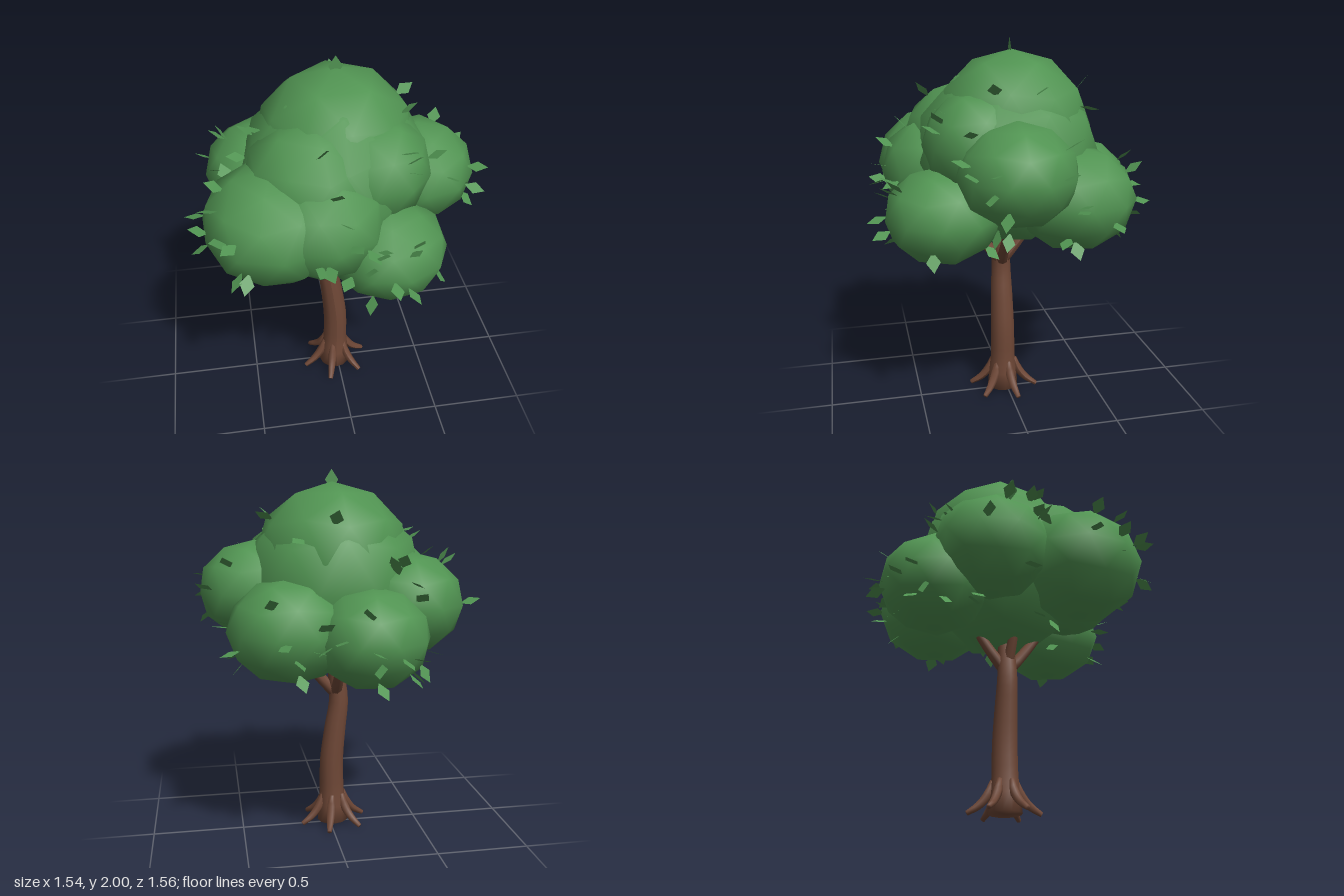
import * as THREE from 'three';

const bark = new THREE.MeshStandardMaterial({ color: 0x6e4736 });
bark.name = 'bark brown';
const foliage = new THREE.MeshStandardMaterial({ color: 0x519452, side: THREE.DoubleSide });
foliage.name = 'leaf green';

// Seeded random numbers
let seed = 11;
const rand = () => (seed = (seed * 16807) % 2147483647) / 2147483647;

// Tapered, capped limb along a curve; radii are spread evenly over its length
function limb(name, points, radii, sides = 10, segments = 14) {
  const curve = new THREE.CatmullRomCurve3(points.map((p) => new THREE.Vector3(...p)));
  const geo = new THREE.TubeGeometry(curve, segments, 1, sides, false);
  const pos = geo.attributes.position;
  const v = new THREE.Vector3();
  for (let i = 0; i <= segments; i++) {
    const end = i === 0 || i === segments;
    // The rings next to the ends move onto the ends, the end rings close to a point
    const target = i === 1 ? 0 : i === segments - 1 ? segments : i;
    const t = (target / segments) * (radii.length - 1);
    const k = Math.min(Math.floor(t), radii.length - 2);
    const r = end ? 0 : THREE.MathUtils.lerp(radii[k], radii[k + 1], t - k);
    const from = curve.getPointAt(i / segments);
    const to = curve.getPointAt(target / segments);
    for (let j = 0; j <= sides; j++) {
      const n = i * (sides + 1) + j;
      v.fromBufferAttribute(pos, n).sub(from).multiplyScalar(r).add(to);
      pos.setXYZ(n, v.x, v.y, v.z);
    }
  }
  geo.computeVertexNormals();
  const mesh = new THREE.Mesh(geo, bark);
  mesh.name = name;
  return mesh;
}

// Foliage clumps: centre x, y, z, then horizontal and vertical radius
const clumps = [
  [-0.02, 1.39, 0, 0.49, 0.48],
  [-0.01, 1.54, -0.03, 0.41, 0.39],
  [-0.16, 1.44, 0.18, 0.35, 0.33],
  [0.14, 1.48, 0.16, 0.3, 0.28],
  [0.4, 1.37, 0.03, 0.3, 0.26],
  [-0.37, 1.3, 0.3, 0.35, 0.3],
  [-0.13, 1.31, 0.33, 0.32, 0.29],
  [0.19, 1.13, 0.37, 0.3, 0.25],
  [-0.14, 1.17, -0.42, 0.3, 0.26],
  [0.25, 1.2, -0.3, 0.32, 0.27],
  [-0.37, 1.31, -0.19, 0.31, 0.27],
];

// Flat diamond leaf growing along +y from its stem end
const leafShape = new THREE.Shape();
leafShape.moveTo(0, 0);
leafShape.lineTo(0.036, 0.055);
leafShape.lineTo(0, 0.11);
leafShape.lineTo(-0.036, 0.055);
leafShape.closePath();
const leafGeo = new THREE.ShapeGeometry(leafShape);

// Leaf pointing along a direction, its width kept level apart from a twist
function leaf(position, direction, twist) {
  const mesh = new THREE.Mesh(leafGeo, foliage);
  mesh.name = 'leaf';
  mesh.position.copy(position);
  const across = new THREE.Vector3(direction.z, 0, -direction.x).normalize();
  const face = new THREE.Vector3().crossVectors(across, direction);
  mesh.quaternion.setFromRotationMatrix(new THREE.Matrix4().makeBasis(across, direction, face));
  mesh.rotateY(twist);
  return mesh;
}

const insideClump = (p, [x, y, z, r, h]) =>
  ((p.x - x) / r) ** 2 + ((p.y - y) / h) ** 2 + ((p.z - z) / r) ** 2 < 0.95;

export function createModel() {
  const tree = new THREE.Group();
  tree.name = 'tree';

  // Trunk with a gentle bend
  tree.add(limb('trunk',
    [[-0.02, 0.015, 0.02], [-0.015, 0.2, 0.02], [-0.015, 0.38, 0.02], [-0.035, 0.57, 0.02],
      [-0.055, 0.73, 0.02], [-0.04, 0.9, 0.02], [-0.02, 1.15, 0]],
    [0.088, 0.07, 0.067, 0.061, 0.053, 0.043, 0.03], 12, 24));

  // Branches forking into the crown
  const forks = [[0.19, 1.04, 0.03], [-0.06, 1.06, 0.24], [-0.04, 1.06, -0.2], [-0.16, 1.08, 0.04]];
  for (const [x, y, z] of forks) {
    tree.add(limb('branch',
      [[-0.04, 0.77, 0.02], [(x - 0.04) / 2, (y + 0.75) / 2, (z + 0.02) / 2], [x, y, z]],
      [0.034, 0.028, 0.022], 8, 8));
  }

  // Six flaring roots
  for (let i = 0; i < 6; i++) {
    const a = Math.PI / 4 + (i * Math.PI) / 3;
    const at = (d, y) => [-0.02 + d * Math.cos(a), y, 0.015 + d * Math.sin(a)];
    tree.add(limb('root', [at(0.06, 0.18), at(0.085, 0.11), at(0.13, 0.055), at(0.19, 0.015)],
      [0.015, 0.025, 0.021, 0.013], 7, 10));
  }

  // Crown of rounded clumps, each with a vertex at its top
  const crown = new THREE.Group();
  crown.name = 'crown';
  tree.add(crown);
  const ball = new THREE.IcosahedronGeometry(1.015, 1);
  ball.rotateX(-Math.atan((1 + Math.sqrt(5)) / 2));
  clumps.forEach(([x, y, z, r, h], i) => {
    const mesh = new THREE.Mesh(ball, foliage);
    mesh.name = 'foliageClump';
    mesh.position.set(x, y, z);
    mesh.scale.set(r, h, r);
    mesh.rotation.y = i * 0.7;
    crown.add(mesh);
  });

  // Loose leaves scattered over the exposed surface
  clumps.forEach((clump, i) => {
    const [x, y, z, r, h] = clump;
    for (let n = 0; n < 26; n++) {
      const up = rand() * 1.6 - 0.8;
      const a = rand() * Math.PI * 2;
      const s = Math.sqrt(1 - up * up);
      const out = new THREE.Vector3(s * Math.cos(a), up, s * Math.sin(a));
      const p = new THREE.Vector3(x + out.x * r * 0.94, y + out.y * h * 0.94, z + out.z * r * 0.94);
      const twist = (rand() - 0.5) * 1.2;
      const tilt = new THREE.Vector3(rand() - 0.5, rand() - 0.5, rand() - 0.5);
      if (p.y > 1.78 || clumps.some((c, k) => k !== i && insideClump(p, c))) continue;
      crown.add(leaf(p, out.addScaledVector(tilt, 0.8).normalize(), twist));
    }
  });
  crown.add(leaf(new THREE.Vector3(-0.01, 1.89, -0.02), new THREE.Vector3(0, 1, 0.001).normalize(), 0));

  return tree;
}
